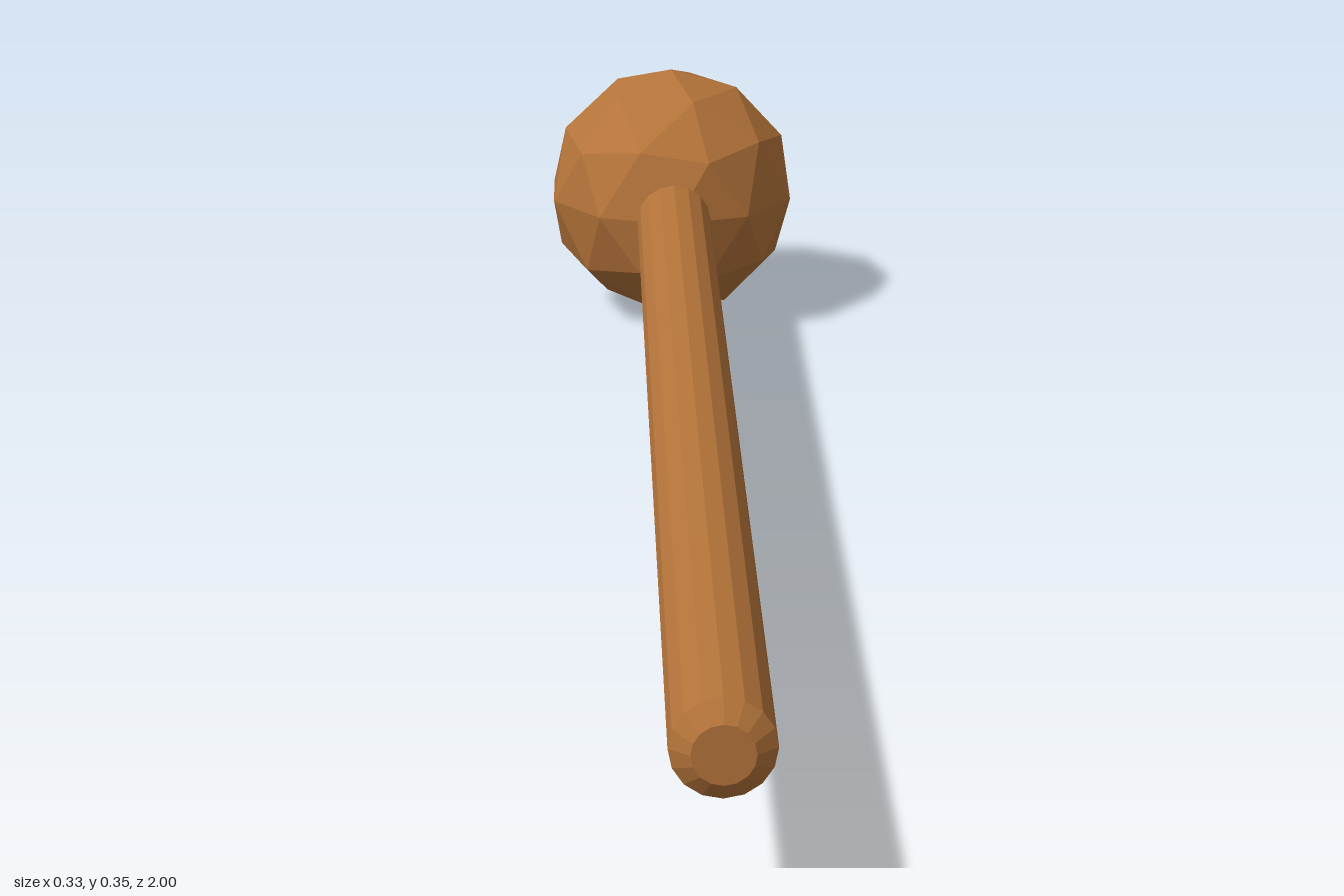
import * as THREE from 'three';

export function createModel() {
  const model = new THREE.Group();
  model.name = 'mallet';
  const wood = new THREE.MeshStandardMaterial({ color: 0xb5743a, flatShading: true });
  const radius = 0.1735;
  const axisY = 0.1765;

  // Faceted ball, turned so that a vertex points straight up
  const ball = new THREE.IcosahedronGeometry(radius, 1);
  ball.rotateZ(-Math.atan(2 / (1 + Math.sqrt(5))));
  const head = new THREE.Mesh(ball, wood);
  head.name = 'ballHead';
  head.position.set(0, axisY, -1 + radius);
  model.add(head);

  // Round stick with a chamfered free end, its other end set into the ball
  const profile = [[0, -0.72], [0.05, -0.72], [0.05, 0.985], [0.03, 1], [0, 1]]
    .map(([r, z]) => new THREE.Vector2(r, z));
  const stick = new THREE.LatheGeometry(profile, 16);
  stick.rotateX(Math.PI / 2);
  const handle = new THREE.Mesh(stick, wood);
  handle.name = 'handle';
  handle.position.y = axisY;
  model.add(handle);

  return model;
}
